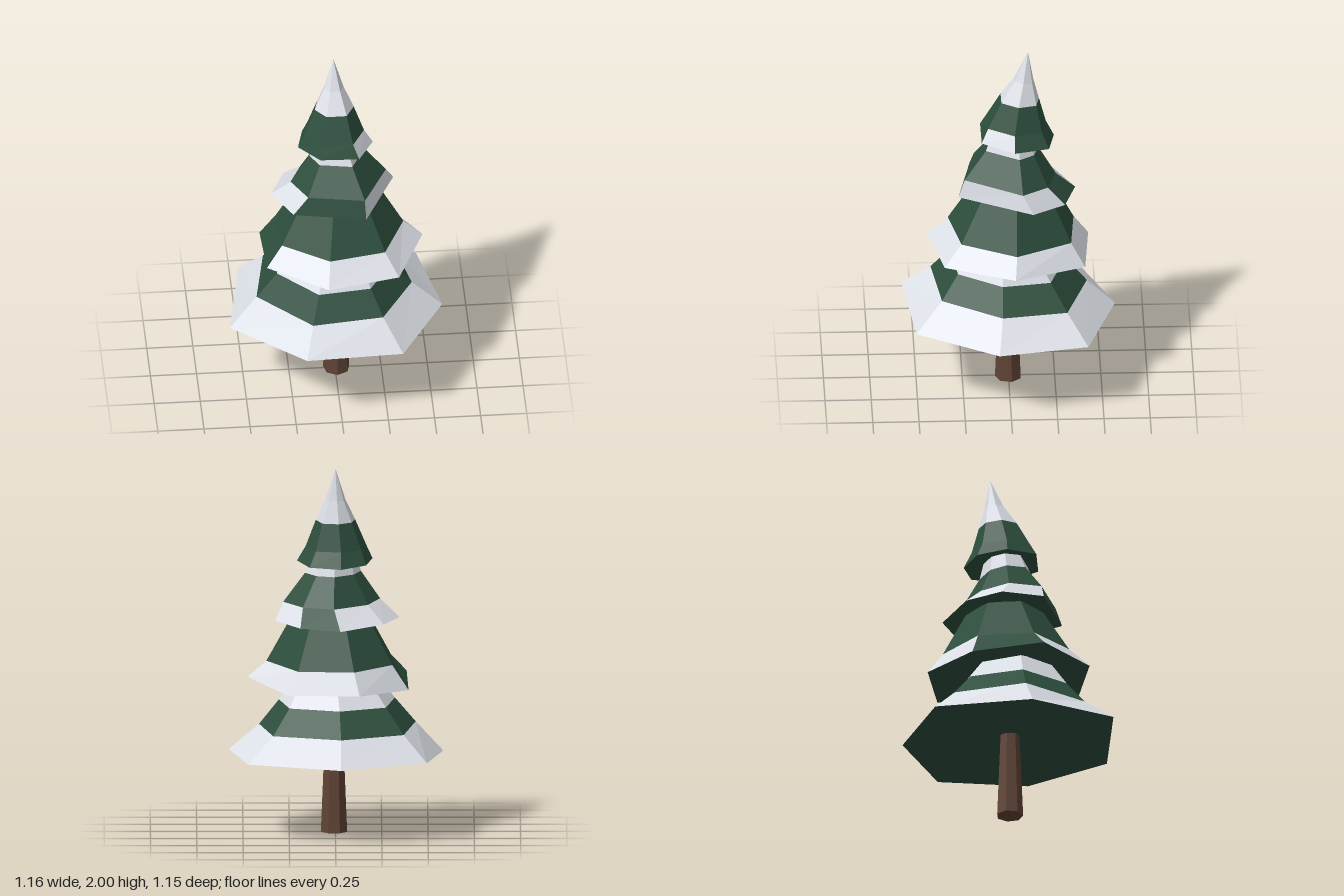
import * as THREE from 'three';

const needles = new THREE.MeshStandardMaterial({ color: 0x2d4e3d });
needles.name = 'needleGreen';
const snow = new THREE.MeshStandardMaterial({ color: 0xdfe3ea });
snow.name = 'snowWhite';
const bark = new THREE.MeshStandardMaterial({ color: 0x5f4335 });
bark.name = 'barkBrown';

// Unshared corners keep every facet flat
function facetMesh(name, points, material) {
  const geometry = new THREE.BufferGeometry();
  geometry.setAttribute('position', new THREE.Float32BufferAttribute(points.flat(), 3));
  geometry.computeVertexNormals();
  const mesh = new THREE.Mesh(geometry, material);
  mesh.name = name;
  return mesh;
}

// rim: corners [x, y, z] running front, +x, back, -x.
// rings above it: [y, scale of rim, centre x, centre z], leaning by tilt.
// lip: one letter per rim sector, bands: one letter per band above it (s snow, g green).
function makeTier(name, { tilt, lip, bands, rim, rings }) {
  const n = rim.length;
  const mean = [0, 1, 2].map((k) => rim.reduce((sum, p) => sum + p[k], 0) / n);
  const loops = [rim, ...rings.map(([y, s, cx, cz]) => rim.map(([x, , z]) => {
    const dx = (x - mean[0]) * s, dz = (z - mean[2]) * s;
    return [cx + dx, y + tilt * dz, cz + dz];
  }))];
  const faces = { s: [], g: [] };

  // Sloping bands from the rim up; the tip needs only triangles
  for (let r = 0; r < rings.length; r++) {
    for (let i = 0; i < n; i++) {
      const j = (i + 1) % n;
      const a = loops[r][i], b = loops[r][j], c = loops[r + 1][j], d = loops[r + 1][i];
      const out = faces[r === 0 ? lip[i] : bands[r - 1]];
      out.push(a, b, c);
      if (rings[r][1] > 0) out.push(a, c, d);
    }
  }
  // Slightly hollow underside
  const hub = [mean[0], mean[1] + 0.04, mean[2]];
  for (let i = 0; i < n; i++) faces.g.push(hub, rim[(i + 1) % n], rim[i]);

  const group = new THREE.Group();
  group.name = name;
  group.add(facetMesh('needles', faces.g, needles), facetMesh('snow', faces.s, snow));
  return group;
}

export function createModel() {
  const tree = new THREE.Group();
  tree.name = 'snowyPineTree';

  // Tapered trunk
  const trunkShape = new THREE.CylinderGeometry(0.05, 0.073, 0.55, 7).toNonIndexed();
  trunkShape.computeVertexNormals();
  const trunk = new THREE.Mesh(trunkShape, bark);
  trunk.name = 'trunk';
  trunk.position.set(0.008, 0.275, 0);
  tree.add(trunk);

  tree.add(makeTier('bottomTier', {
    tilt: 0.04, lip: 'sssssss', bands: 'gss',
    rim: [[-0.195, 0.48, 0.574], [0.33, 0.447, 0.507], [0.577, 0.44, 0.065], [0.473, 0.43, -0.417],
      [-0.03, 0.42, -0.578], [-0.493, 0.43, -0.373], [-0.583, 0.418, 0.16]],
    rings: [[0.58, 0.73, 0, -0.01], [0.715, 0.54, 0, 0], [0.86, 0.37, 0.01, 0.01], [1, 0.2, 0.01, 0]],
  }));

  tree.add(makeTier('lowerMiddleTier', {
    tilt: 0.05, lip: 'sssssgs', bands: 'gg',
    rim: [[-0.067, 0.848, 0.437], [0.32, 0.85, 0.355], [0.477, 0.85, -0.025], [0.257, 0.805, -0.407],
      [-0.13, 0.805, -0.436], [-0.395, 0.8, -0.177], [-0.385, 0.848, 0.21]],
    rings: [[0.94, 0.78, 0.01, -0.02], [1.19, 0.47, 0.015, -0.03], [1.3, 0.3, 0.01, -0.03]],
  }));

  tree.add(makeTier('upperMiddleTier', {
    tilt: 0.08, lip: 'gssgsss', bands: 'gss',
    rim: [[-0.24, 1.19, 0.2], [0.148, 1.19, 0.275], [0.326, 1.172, -0.124], [0.19, 1.155, -0.3],
      [-0.026, 1.146, -0.362], [-0.26, 1.165, -0.22], [-0.345, 1.175, -0.02]],
    rings: [[1.27, 0.78, 0.005, -0.035], [1.425, 0.45, 0.005, -0.035], [1.52, 0.35, 0, -0.04], [1.6, 0.2, 0, -0.04]],
  }));

  tree.add(makeTier('topTier', {
    tilt: 0.07, lip: 'gsggggg', bands: 'gss',
    rim: [[-0.09, 1.512, 0.15], [0.12, 1.505, 0.148], [0.208, 1.487, -0.03], [0.14, 1.475, -0.215],
      [-0.03, 1.468, -0.247], [-0.165, 1.48, -0.165], [-0.2, 1.495, 0]],
    rings: [[1.567, 0.8, -0.008, -0.047], [1.712, 0.52, -0.003, -0.064], [1.83, 0.26, -0.001, -0.085], [2, 0, 0, -0.106]],
  }));
  return tree;
}
